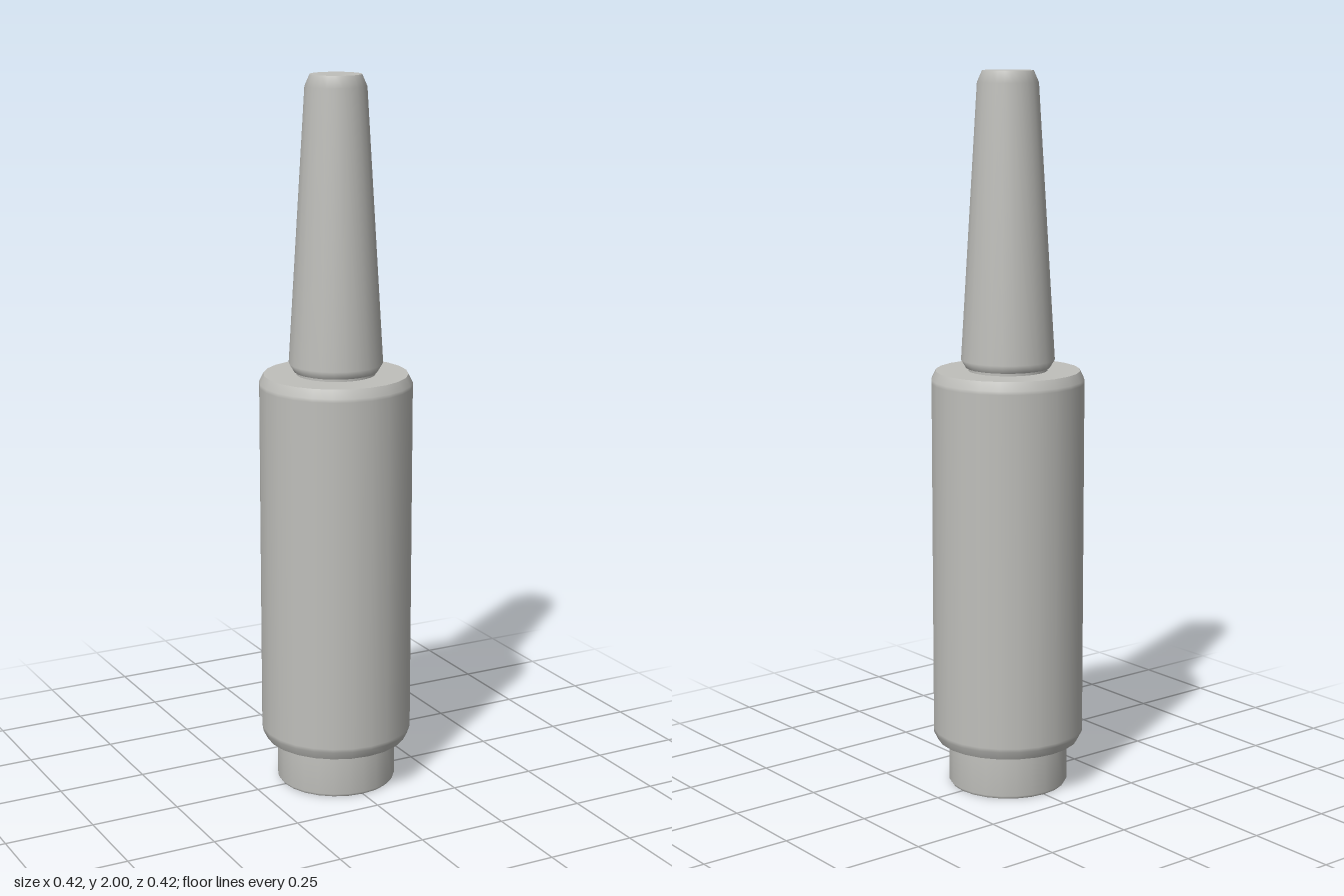
import * as THREE from 'three';

const SIDES = 24;

export function createModel() {
  const model = new THREE.Group();
  const grey = new THREE.MeshStandardMaterial({ color: 0xbfbfbb });
  grey.name = 'warm grey';

  const lathe = (name, points) => {
    const profile = points.map(([r, y]) => new THREE.Vector2(r, y));
    const mesh = new THREE.Mesh(new THREE.LatheGeometry(profile, SIDES), grey);
    mesh.name = name;
    return mesh;
  };

  // Smooth turned side with crisp flat caps; the profile runs bottom to top
  const turned = (name, points) => {
    const part = new THREE.Group();
    part.name = name;
    const first = points[0];
    const last = points[points.length - 1];
    part.add(
      lathe(name + 'Side', points),
      lathe(name + 'Bottom', [[0, first[1]], first]),
      lathe(name + 'Top', [last, [0, last[1]]]),
    );
    model.add(part);
  };

  // Short plug at the base
  turned('foot', [[0.163, 0], [0.168, 0.008], [0.168, 0.115], [0.163, 0.13]]);

  // Main barrel with bevelled rims
  turned('barrel', [[0.2, 0.128], [0.212, 0.152], [0.212, 0.162], [0.212, 1.152], [0.212, 1.162], [0.2, 1.186]]);

  // Thin neck closing the gap under the tip
  turned('neck', [[0.11, 1.18], [0.11, 1.2]]);

  // Long tapered tip with bevelled ends
  turned('tip', [[0.116, 1.194], [0.13, 1.217], [0.084, 1.968], [0.07, 2]]);

  return model;
}
